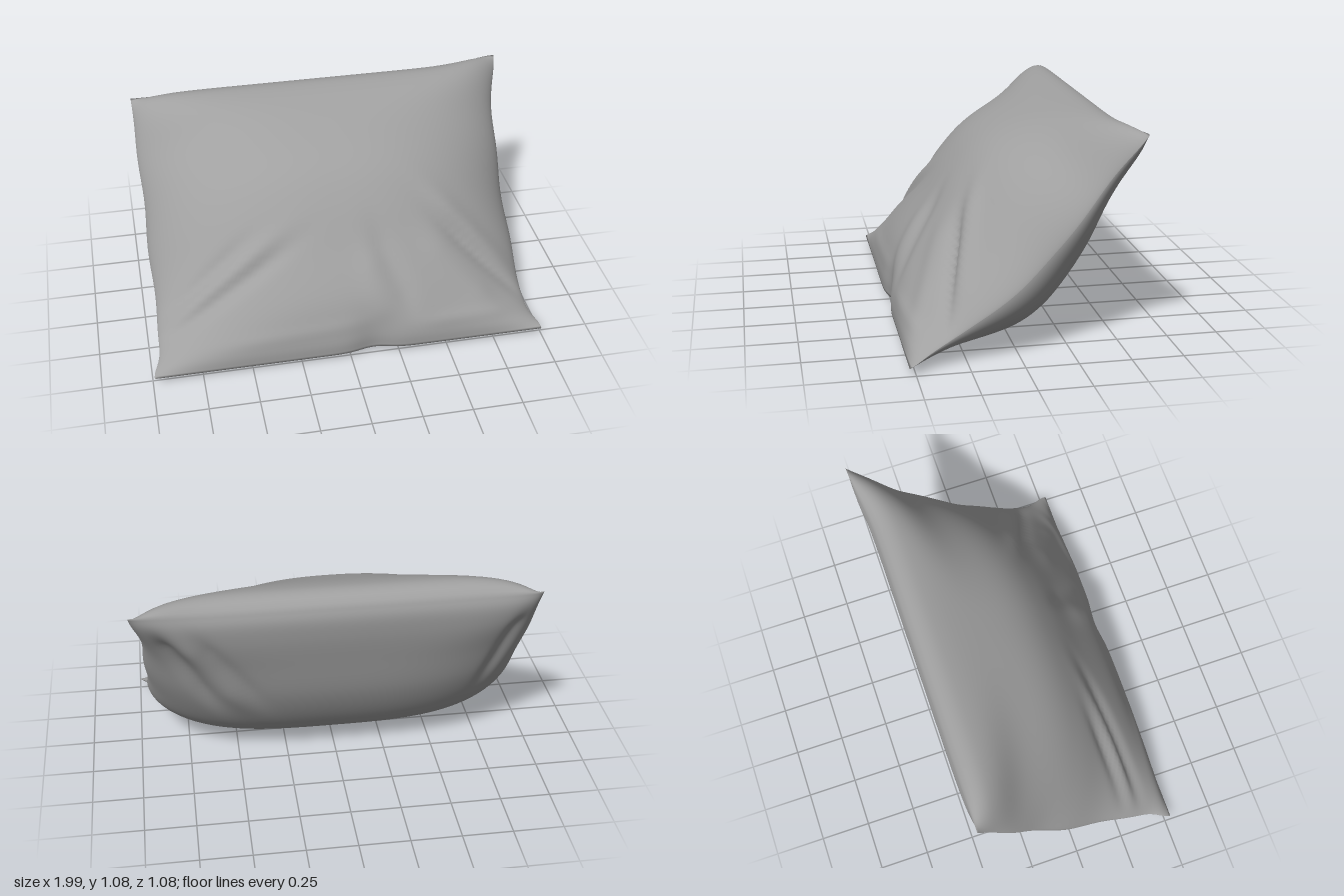
import * as THREE from 'three';

const COLS = 120; // sections across the width
const HALF = 60;  // points along the front (and the back) of each section

// smooth side profile from [z, y] pairs, bottom edge to top edge
const profile = (pts) => new THREE.CatmullRomCurve3(pts.map(([z, y]) => new THREE.Vector3(0, y, z)), false, 'centripetal');

const frontProfile = profile([[0.53, 0.04], [0.53, 0.11], [0.51, 0.2], [0.46, 0.33], [0.31, 0.56], [0.2, 0.725],
  [0.1, 0.84], [0, 0.915], [-0.2, 1.01], [-0.36, 1.068], [-0.43, 1.078], [-0.48, 1.063], [-0.51, 1.03]]);
const backProfile = profile([[0.53, 0.04], [0.46, 0.022], [0.36, 0.012], [0.18, 0.003], [0, 0.03], [-0.1, 0.07], [-0.2, 0.145],
  [-0.3, 0.27], [-0.4, 0.46], [-0.47, 0.69], [-0.515, 0.87], [-0.525, 0.97], [-0.51, 1.03]]);
// side seam, sagging towards the back
const seamProfile = profile([[0.53, 0.04], [0.4, 0.1], [0.2, 0.22], [0, 0.37], [-0.16, 0.54], [-0.3, 0.72], [-0.42, 0.9], [-0.51, 1.03]]);

// folds: [x0, v0, x1, v1, width, height], v runs from bottom edge to top edge
const frontFolds = [
  [0.95, 0.13, 0.52, 0.4, 0.03, -0.03], [0.92, 0.22, 0.48, 0.5, 0.05, 0.02],
  [0.75, 0.12, 0.42, 0.36, 0.07, 0.015], [0.32, 0.13, 0.16, 0.4, 0.05, -0.014],
  [0.18, 0.1, 0.1, 0.32, 0.06, 0.01], [-0.95, 0.13, -0.3, 0.36, 0.04, -0.02],
  [-0.95, 0.2, -0.5, 0.4, 0.035, -0.016], [-0.92, 0.17, -0.35, 0.4, 0.04, 0.014],
  [-0.6, 0.08, 0.05, 0.1, 0.035, 0.008], [0.4, 0.08, 0.85, 0.09, 0.035, 0.01],
];
const backFolds = [
  [0.88, 0.93, 0.62, 0.62, 0.045, -0.03], [0.78, 0.93, 0.48, 0.62, 0.05, 0.015],
  [0.7, 0.93, 0.4, 0.65, 0.04, -0.015], [-0.86, 0.9, -0.74, 0.62, 0.045, -0.025],
  [0.88, 0.12, 0.65, 0.3, 0.06, -0.01],
];

const bump = (d, w) => Math.exp(-(d * d) / (w * w));

// height of all folds at a point: a soft ridge along each line, fading past its ends
function foldHeight(folds, x, v) {
  let h = 0;
  for (const [x0, v0, x1, v1, width, height] of folds) {
    const dx = x1 - x0, dv = (v1 - v0) * 1.5, px = x - x0, pv = (v - v0) * 1.5;
    const len = Math.hypot(dx, dv);
    const along = (px * dx + pv * dv) / (len * len);
    const past = Math.max(0, Math.abs(along - 0.5) - 0.25);
    h += height * bump((px * dv - pv * dx) / len, width) * bump(past, 0.3);
  }
  return h;
}

// half width of the cushion, pulled out to pointed corners
function halfWidth(side, v) {
  const bottom = 0.05 * bump(v, 0.06);
  const top = (side > 0 ? 0.045 : 0.01) * bump(1 - v, 0.12);
  return 0.945 + 0.005 * Math.sin(v * 19 + side) + bottom + top;
}

// how full the cushion is at u: a soft dome in front, boxier behind and along the top edge
function fullness(u, v, isFront) {
  const [power, round] = isFront ? [2.4, 0.72] : [3.2, 0.55];
  const p = power + 3 * bump(v, 0.1) + 7 * bump(1 - v, 0.13);
  return Math.pow(Math.max(0, 1 - Math.pow(Math.abs(u), p)), round);
}

function cushionGeometry() {
  const ring = HALF * 2, positions = [], index = [];
  // ring of parameters: up the front, then down the back
  const samples = Array.from({ length: ring }, (_, j) => {
    const isFront = j <= HALF;
    const t = isFront ? j / HALF : (ring - j) / HALF;
    const v = 0.5 * t + 0.25 * (1 - Math.cos(Math.PI * t)); // closer together at the edges
    return { isFront, v, outer: (isFront ? frontProfile : backProfile).getPointAt(v), seam: seamProfile.getPointAt(v) };
  });
  for (let i = 0; i <= COLS; i++) {
    const u = Math.sin((i / COLS - 0.5) * Math.PI);
    for (const { isFront, v, outer, seam } of samples) {
      const full = fullness(u, v, isFront);
      const p = seam.clone().lerp(outer, full);
      p.x = u * halfWidth(Math.sign(u), v);
      // folds push along the cushion's facing direction
      const fade = Math.min(1, full * 1.6) * Math.min(1, 8 * v, 8 * (1 - v));
      const h = foldHeight(isFront ? frontFolds : backFolds, p.x, v) * fade * (isFront ? 1 : -1);
      p.y += h * 0.7;
      p.z += h * 0.7;
      // notch in the bottom edge and the raised top corner
      p.z -= 0.028 * bump(p.x - 0.12, 0.1) * bump(v, 0.12);
      const horn = bump(u - 1, 0.22) * bump(1 - v, 0.15);
      p.y += 0.03 * horn;
      p.z -= 0.04 * horn;
      p.y = Math.max(0, p.y);
      positions.push(p.x, p.y, p.z);
    }
  }
  for (let i = 0; i < COLS; i++) {
    for (let j = 0; j < ring; j++) {
      const k = (j + 1) % ring;
      const a = i * ring + j, b = a + ring, c = (i + 1) * ring + k, d = i * ring + k;
      index.push(a, b, c, a, c, d);
    }
  }
  const geometry = new THREE.BufferGeometry();
  geometry.setAttribute('position', new THREE.Float32BufferAttribute(positions, 3));
  geometry.setIndex(index);
  geometry.computeVertexNormals();
  return geometry;
}

export function createModel() {
  const group = new THREE.Group();
  group.name = 'pillow';
  const cushion = new THREE.Mesh(cushionGeometry(), new THREE.MeshStandardMaterial({ color: 0xa0a0a0 }));
  cushion.name = 'cushion';
  group.add(cushion);
  return group;
}
